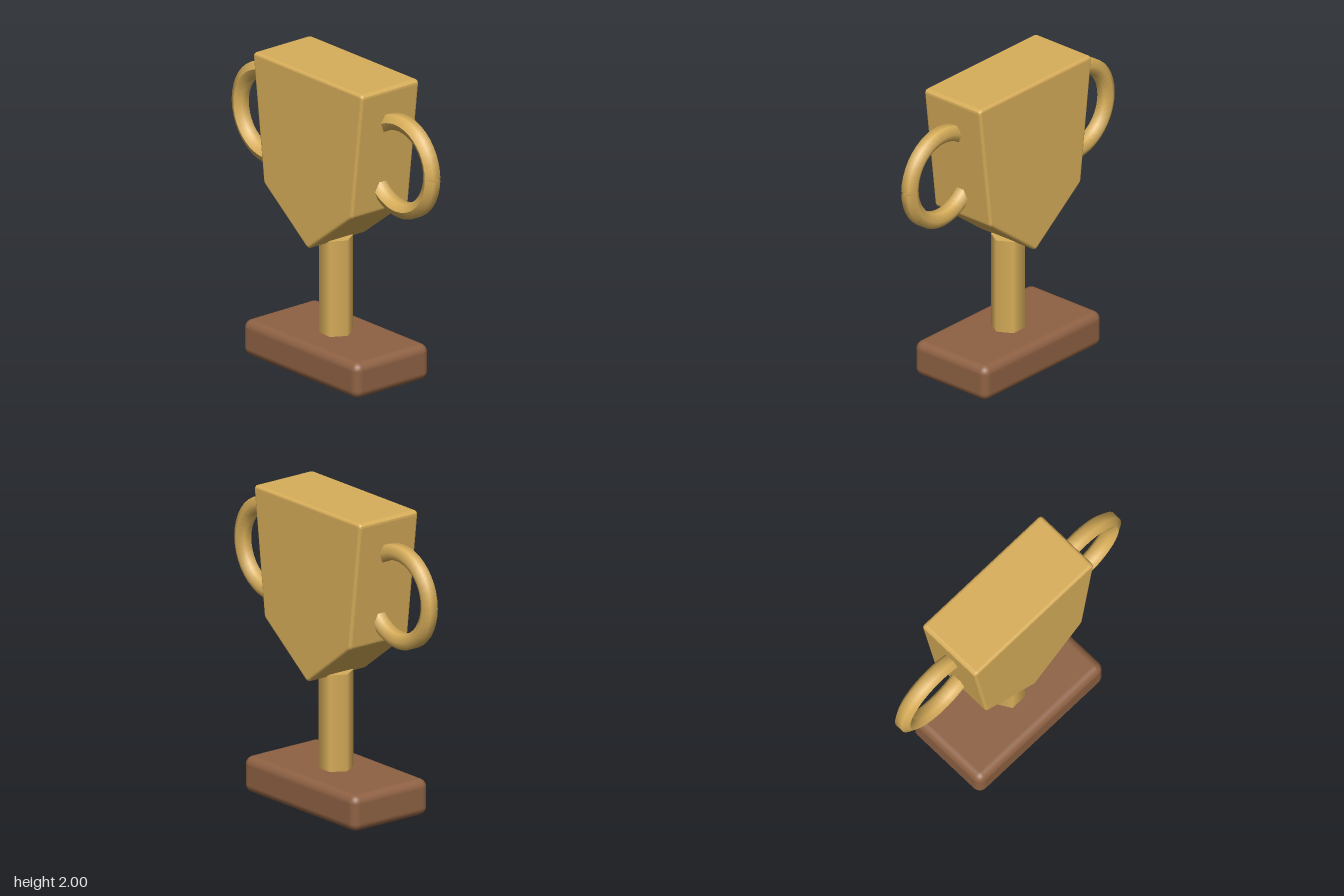
import * as THREE from 'three';
import { RoundedBoxGeometry } from 'three/addons/geometries/RoundedBoxGeometry.js';

const gold = new THREE.MeshStandardMaterial({ color: 0xd8ae5a, side: THREE.DoubleSide });
gold.name = 'gold';
const wood = new THREE.MeshStandardMaterial({ color: 0x8e6143 });
wood.name = 'brown wood';

// Closed outline with each corner softened by a small curve
function roundedOutline(corners, radius) {
  const shape = new THREE.Shape();
  const points = corners.map(([x, y]) => new THREE.Vector2(x, y));
  points.forEach((p, i) => {
    const prev = points[(i + points.length - 1) % points.length];
    const next = points[(i + 1) % points.length];
    const a = p.clone().add(prev.clone().sub(p).setLength(radius));
    const b = p.clone().add(next.clone().sub(p).setLength(radius));
    if (i === 0) shape.moveTo(a.x, a.y);
    else shape.lineTo(a.x, a.y);
    shape.quadraticCurveTo(p.x, p.y, b.x, b.y);
  });
  shape.closePath();
  return shape;
}

// Five-sided bowl with narrow rounded edges
function cupGeometry() {
  const bevel = 0.02;
  const outline = roundedOutline(
    [[0, 0.862], [0.404, 1.17], [0.503, 1.98], [-0.503, 1.98], [-0.404, 1.17]], 0.008);
  const geometry = new THREE.ExtrudeGeometry(outline, {
    depth: 0.47 - 2 * bevel, bevelSize: bevel, bevelThickness: bevel,
    bevelSegments: 5, curveSegments: 3,
  });
  return geometry.translate(0, 0, -0.235 + bevel);
}

// Ring with a hexagonal section and a small notch where its ends meet
function handleGeometry() {
  const radius = 0.287, tube = 0.057, sides = 6, steps = 40;
  const section = [];
  for (let j = 0; j <= sides; j++) {
    const a = Math.PI / 2 + (j / sides) * Math.PI * 2;
    section.push(new THREE.Vector2(radius + tube * Math.cos(a), tube * Math.sin(a)));
  }
  const geometry = new THREE.LatheGeometry(section, steps, Math.PI / 2, Math.PI * 2);
  geometry.rotateX(Math.PI / 2);
  const position = geometry.attributes.position;
  for (let j = 0; j <= sides; j++) {
    if (section[j].x < radius + 0.01) continue;
    position.setY(j, 0.007);
    position.setY(steps * (sides + 1) + j, -0.007);
  }
  return geometry;
}

export function createModel() {
  const model = new THREE.Group();
  model.name = 'trophy';
  const add = (name, geometry, material, x, y) => {
    const mesh = new THREE.Mesh(geometry, material);
    mesh.name = name;
    mesh.position.set(x, y, 0);
    model.add(mesh);
  };

  // Plinth and hexagonal stem
  add('base', new RoundedBoxGeometry(1.1, 0.237, 0.606, 5, 0.055), wood, 0, 0.1185);
  add('stem', new THREE.CylinderGeometry(0.109, 0.109, 0.72, 6, 1, false, Math.PI / 6), gold, 0, 0.51);

  // Bowl and its two ring handles
  add('cup', cupGeometry(), gold, 0, 0);
  const ring = handleGeometry();
  add('leftHandle', ring, gold, 0.628, 1.512);
  add('rightHandle', ring, gold, -0.628, 1.512);
  return model;
}
